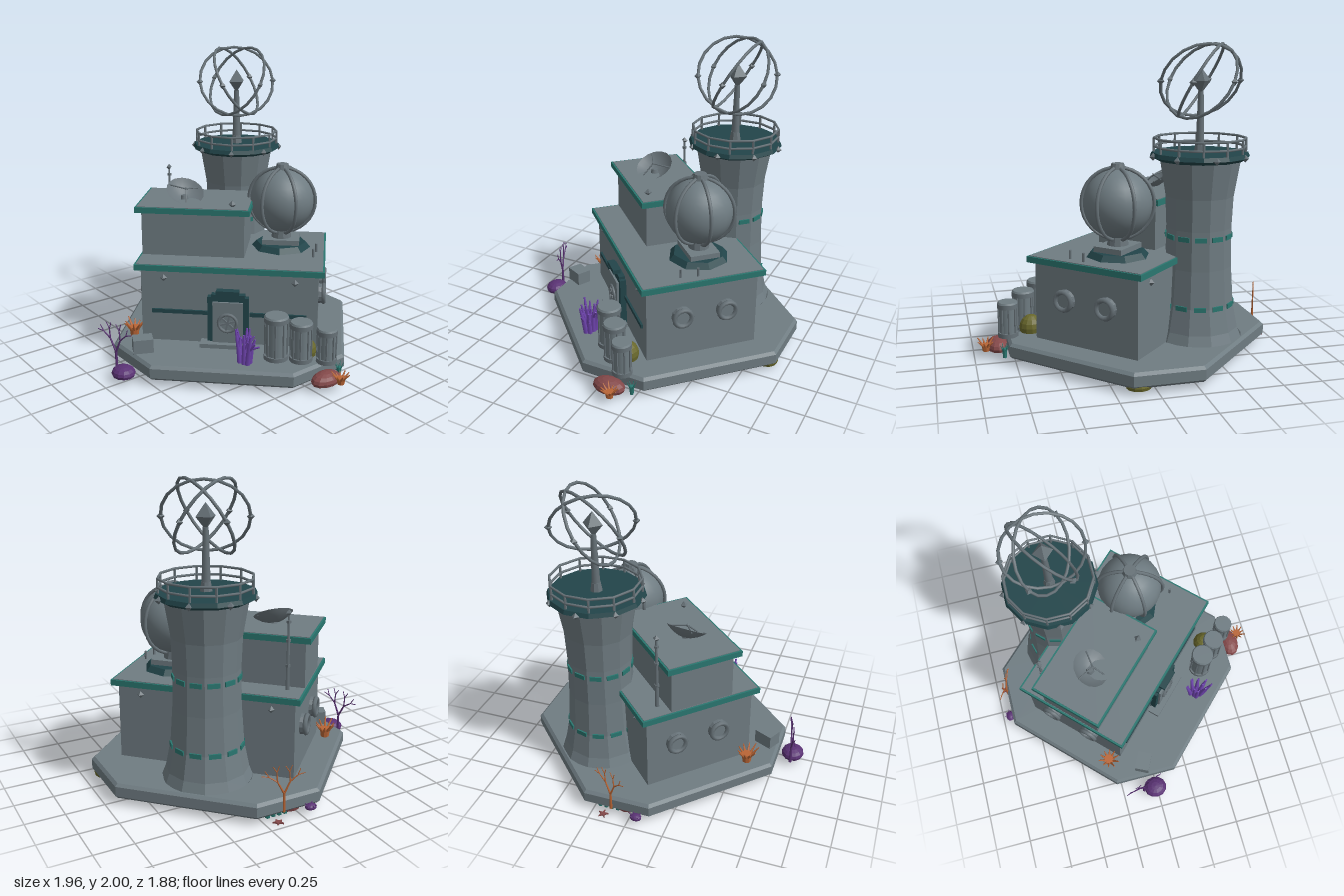
import * as THREE from 'three';

const paint = (name, color) => Object.assign(new THREE.MeshStandardMaterial({ color }), { name });
const V = (x, y, z) => new THREE.Vector3(x, y, z);

// faceted copy of a geometry
function flat(geo) {
  const g = geo.index ? geo.toNonIndexed() : geo;
  g.computeVertexNormals();
  return g;
}

// faceted ball with its underside pressed flat
function dome() {
  const g = new THREE.SphereGeometry(1, 12, 8), p = g.attributes.position;
  for (let i = 0; i < p.count; i++) p.setY(i, Math.max(p.getY(i), -0.4));
  return flat(g);
}

export function createModel() {
  const grey = paint('hull grey', 0x6f7c82);
  const steel = paint('steel grey', 0x677278);
  const teal = paint('teal trim', 0x2a7770);
  const deep = paint('deep teal', 0x22454a);
  const purple = paint('dark purple', 0x5a3274);
  const violet = paint('violet', 0x7045b0);
  const orange = paint('orange coral', 0xb96535);
  const red = paint('red coral', 0x84494a);
  const olive = paint('olive coral', 0x69682c);
  const shell = paint('dish grey', 0x6b767c);
  shell.side = THREE.DoubleSide;

  const model = new THREE.Group();
  const add = (parent, name, geo, mat, x = 0, y = 0, z = 0) => {
    const m = new THREE.Mesh(geo, mat);
    m.name = name;
    m.position.set(x, y, z);
    parent.add(m);
    return m;
  };
  const group = (parent, name, x = 0, y = 0, z = 0) => {
    const g = new THREE.Group();
    g.name = name;
    g.position.set(x, y, z);
    parent.add(g);
    return g;
  };
  const box = (w, h, d) => new THREE.BoxGeometry(w, h, d);
  const cyl = (r1, r2, h, n = 12) => flat(new THREE.CylinderGeometry(r1, r2, h, n));
  const stud = (r) => flat(new THREE.OctahedronGeometry(r));
  // tapered rod between two points
  const rod = (parent, name, a, b, ra, rb, mat, n = 6) => {
    const d = b.clone().sub(a);
    const m = add(parent, name, new THREE.CylinderGeometry(rb, ra, d.length(), n), mat);
    m.position.copy(a).addScaledVector(d, 0.5);
    m.quaternion.setFromUnitVectors(V(0, 1, 0), d.normalize());
    return m;
  };
  let seed = 7;
  const rnd = () => (seed = (seed * 16807) % 2147483647) / 2147483647;

  // ---- buildings, turned so the door faces a corner ----
  const station = group(model, 'station', -0.065, 0, -0.085);
  station.rotation.y = Math.PI / 4;

  // chamfered platform with the tower shaft opening
  const a = 0.76, c = 0.45;
  const plan = new THREE.Shape([[a, -c], [a, c], [c, a], [-c, a], [-a, c], [-a, -c], [-c, -a], [c, -a]]
    .map(([x, y]) => new THREE.Vector2(x, y)));
  plan.holes.push(new THREE.Path().absarc(-0.046, 0.456, 0.268, 0, Math.PI * 2, true));
  const slab = new THREE.ExtrudeGeometry(plan, {
    depth: 0.064, bevelThickness: 0.018, bevelSize: 0.018, bevelOffset: -0.018, bevelSegments: 1, curveSegments: 12 });
  slab.rotateX(-Math.PI / 2);
  add(station, 'platform', slab, grey, 0, 0.058, 0);

  // storeys: walls, teal roof edge, grey roof top
  const storey = (name, x, hw, hd, y0, y1) => {
    add(station, name + 'Walls', box(hw * 2 - 0.075, y1 - y0, hd * 2 - 0.08), grey, x, (y0 + y1) / 2, 0);
    add(station, name + 'RoofEdge', box(hw * 2, 0.038, hd * 2), teal, x, y1 + 0.016, 0);
    add(station, name + 'RoofTop', box(hw * 2 - 0.024, 0.006, hd * 2 - 0.024), grey, x, y1 + 0.036, 0);
  };
  storey('lower', 0, 0.618, 0.413, 0.13, 0.645);
  storey('upper', -0.26, 0.381, 0.253, 0.67, 0.985);

  // portholes on both end walls
  for (const [s, z] of [[-1, -0.175], [-1, 0.125], [1, -0.16], [1, 0.14]]) {
    const p = group(station, 'porthole', s * 0.577, 0.43, z);
    p.rotation.y = s * Math.PI / 2;
    const collar = add(p, 'portholeCollar', cyl(0.062, 0.07, 0.04, 12), steel, 0, 0, 0.015);
    collar.rotation.x = Math.PI / 2;
    add(p, 'portholeRing', new THREE.TorusGeometry(0.057, 0.016, 6, 16), steel, 0, 0, 0.038);
    add(p, 'portholePane', new THREE.CircleGeometry(0.05, 16), grey, 0, 0, 0.037);
  }

  // door
  const door = group(station, 'door', 0, 0, 0.375);
  add(door, 'doorFrame', box(0.27, 0.33, 0.05), deep, 0, 0.315, 0.015);
  add(door, 'doorFrameCap', box(0.22, 0.025, 0.05), deep, 0, 0.485, 0.015);
  add(door, 'doorLeaf', box(0.2, 0.29, 0.03), grey, 0, 0.305, 0.04);
  add(door, 'hatchRing', new THREE.TorusGeometry(0.06, 0.011, 6, 16), steel, 0, 0.31, 0.06);
  for (let i = 0; i < 3; i++) {
    const spoke = add(door, 'hatchSpoke', box(0.12, 0.012, 0.012), steel, 0, 0.31, 0.06);
    spoke.rotation.z = i * Math.PI / 3 + 0.3;
  }
  add(door, 'doorLamp', box(0.15, 0.028, 0.05), deep, 0, 0.52, 0.045);
  add(door, 'doorStep', box(0.36, 0.028, 0.085), grey, 0, 0.155, 0.05);
  add(door, 'doorFooting', box(0.05, 0.12, 0.04), deep, -0.02, 0.085, 0);
  for (const s of [-1, 1]) {
    add(station, 'wallStripe', box(0.37, 0.026, 0.02), deep, s * 0.325, 0.353, 0.377);
    for (const z of [-0.375, 0.375]) add(station, 'wallStud', stud(0.024), steel, s * 0.43, 0.585, z);
  }
  add(station, 'roofStud', stud(0.026), steel, 0, 1.04, 0.173);

  // roof pipes and aerial
  for (const [x, z] of [[0.345, -0.46], [0.41, -0.37]])
    add(model, 'roofPipe', cyl(0.009, 0.009, 0.06, 6), steel, x, 0.71, z);
  const aerial = group(model, 'aerial', -0.61, 0, 0.085);
  rod(aerial, 'aerialPole', V(0, 0.68, 0), V(0, 1.17, 0), 0.014, 0.007, steel);
  for (const y of [0.84, 1.0, 1.12]) add(aerial, 'aerialCollar', cyl(0.016, 0.016, 0.015, 6), steel, 0, y, 0);
  add(aerial, 'aerialTip', stud(0.022), steel, 0, 1.175, 0);

  // dish on the upper roof
  const dish = group(model, 'dish', -0.29, 1.08, 0.17);
  dish.quaternion.setFromUnitVectors(V(0, 1, 0), V(0.5, 0.86, 0.1).normalize());
  const bowl = [0, 0.04, 0.08, 0.11, 0.13].map((r) => new THREE.Vector2(r, -0.06 + 3.55 * r * r));
  add(dish, 'dishBowl', new THREE.LatheGeometry(bowl, 16), shell);
  for (let i = 0; i < 3; i++) {
    const t = i * Math.PI * 2 / 3 + 0.5;
    rod(dish, 'dishStrut', V(Math.cos(t) * 0.12, -0.012, Math.sin(t) * 0.12), V(0, 0.02, 0), 0.005, 0.005, steel, 5);
  }
  add(dish, 'dishFeed', stud(0.012), steel, 0, 0.02, 0);
  rod(model, 'dishStand', V(-0.3, 1.01, 0.17), V(-0.3, 1.05, 0.17), 0.035, 0.022, steel);

  // ---- observation tower ----
  const tower = group(model, 'tower', -0.42, 0, -0.375);
  const profile = [[0, 0.128], [0.29, 0.128], [0.262, 0.2], [0.23, 0.36], [0.214, 0.6], [0.21, 0.85], [0.219, 1.05], [0.258, 1.28], [0, 1.28]];
  add(tower, 'towerBody', flat(new THREE.LatheGeometry(profile.map(([x, y]) => new THREE.Vector2(x, y)), 12)), grey);
  for (const [y, r] of [[0.36, 0.23], [0.8, 0.211]]) for (let i = 0; i < 12; i++) {
    const t = (i + 0.5) * Math.PI / 6, d = r * Math.cos(Math.PI / 12);
    const dash = add(tower, 'towerSlot', box(0.075, 0.03, 0.018), teal, Math.sin(t) * d, y, Math.cos(t) * d);
    dash.rotation.y = t;
  }
  // deck and railing, with flat sides to the front
  const deck = group(tower, 'lookoutDeck');
  deck.rotation.y = Math.PI / 12;
  add(deck, 'deckUnderside', cyl(0.312, 0.275, 0.022), deep, 0, 1.287, 0);
  add(deck, 'deckPlate', cyl(0.303, 0.314, 0.026), deep, 0, 1.311, 0);
  for (const y of [1.36, 1.412]) {
    const rail = add(deck, 'handrail', new THREE.TorusGeometry(0.288, 0.008, 6, 12), steel, 0, y, 0);
    rail.rotation.x = Math.PI / 2;
  }
  for (let i = 0; i < 12; i++) {
    const t = i * Math.PI / 6;
    add(deck, 'railPost', cyl(0.008, 0.008, 0.1, 6), steel, Math.sin(t) * 0.288, 1.363, Math.cos(t) * 0.288);
  }
  for (let i = 0; i < 8; i++) {
    const t = i * Math.PI / 4;
    add(tower, 'deckStud', stud(0.024), steel, Math.sin(t) * 0.305, 1.302, Math.cos(t) * 0.305);
  }
  // mast with crossed rings
  add(tower, 'mastFoot', cyl(0.03, 0.04, 0.06, 8), steel, 0, 1.35, 0);
  rod(tower, 'mast', V(0, 1.32, 0), V(0, 1.7, 0), 0.03, 0.018, steel, 8);
  const gem = add(tower, 'mastGem', stud(0.065), steel, 0, 1.765, 0);
  gem.scale.y = 1.25;
  for (let i = 0; i < 3; i++) {
    const orbit = group(tower, 'orbit', 0, 1.765, 0);
    orbit.rotation.y = i * Math.PI / 3;
    const ring = add(orbit, 'orbitRing', new THREE.TorusGeometry(0.26, 0.01, 6, 20), steel);
    ring.rotation.x = -Math.PI / 6;
    for (const s of [-1, 1]) add(orbit, 'orbitStud', stud(0.024), steel, s * 0.26, 0, 0);
  }

  // ---- ribbed globe on its pedestal ----
  const globe = group(model, 'globe', 0.105, 0, -0.355);
  add(globe, 'globeBase', cyl(0.17, 0.205, 0.04, 8), deep, 0, 0.7, 0);
  const plinth = add(globe, 'globePlinth', box(0.25, 0.035, 0.2), grey, 0, 0.737, 0);
  plinth.rotation.y = Math.PI / 4;
  add(globe, 'globeNeck', cyl(0.06, 0.07, 0.07), steel, 0, 0.785, 0);
  add(globe, 'globeBall', new THREE.SphereGeometry(0.217, 24, 16), grey, 0, 1.015, 0);
  for (let i = 0; i < 3; i++) {
    const rib = add(globe, 'globeRib', new THREE.TorusGeometry(0.227, 0.012, 6, 32), steel, 0, 1.015, 0);
    rib.rotation.y = i * Math.PI / 3 - 0.3;
  }
  add(globe, 'globeCap', cyl(0.04, 0.05, 0.035), steel, 0, 1.25, 0);

  // ---- barrels and crate ----
  for (const [x, z, r, h] of [[0.55, 0.07, 0.08, 0.29], [0.668, -0.035, 0.074, 0.26], [0.782, -0.15, 0.066, 0.225]]) {
    const barrel = group(model, 'barrel', x, 0.138, z);
    add(barrel, 'barrelBody', new THREE.CylinderGeometry(r * 0.85, r * 0.85, h, 16), grey, 0, h / 2, 0);
    for (const y of [0.015, h - 0.02]) add(barrel, 'barrelHoop', new THREE.CylinderGeometry(r, r, 0.03, 16), steel, 0, y, 0);
    add(barrel, 'barrelLid', new THREE.CylinderGeometry(r * 0.9, r, 0.012, 16), grey, 0, h, 0);
    for (let i = 0; i < 8; i++) {
      const t = i * Math.PI / 4;
      add(barrel, 'barrelStave', cyl(0.007, 0.007, h - 0.04, 6), steel, Math.sin(t) * r * 0.88, h / 2, Math.cos(t) * r * 0.88);
    }
  }
  const crate = add(model, 'crate', box(0.1, 0.095, 0.13), grey, -0.062, 0.185, 0.683);
  crate.rotation.y = -0.45;

  // ---- sea life ----
  const mound = (name, mat, x, y, z, rx, ry, rz) => add(model, name, dome(), mat, x, y, z).scale.set(rx, ry, rz);
  mound('purpleMound', purple, -0.015, 0.058, 0.86, 0.082, 0.046, 0.075);
  mound('redMound', red, 0.845, 0.06, -0.09, 0.072, 0.052, 0.11);
  mound('leftRedMound', red, -0.83, 0.045, -0.04, 0.08, 0.05, 0.085);
  mound('oliveMound', olive, 0.63, 0.175, -0.11, 0.075, 0.08, 0.07);
  mound('backOliveMound', olive, 0.105, 0.042, -0.87, 0.08, 0.05, 0.07);
  mound('backPurpleMound', purple, 0.03, 0.045, -0.84, 0.05, 0.05, 0.05);
  mound('smallPurpleMound', purple, -0.945, 0.05, 0.055, 0.03, 0.022, 0.038);

  // flat fan tree: forks within the plane given by a side direction
  const fan = (g, mat, p, ang, side, len, r, depth) => {
    const q = p.clone().addScaledVector(side, Math.sin(ang) * len).add(V(0, Math.cos(ang) * len, 0));
    rod(g, 'coralTwig', p, q, r, r * 0.7, mat, 5);
    if (depth > 0) for (const s of [-0.5, 0.42]) fan(g, mat, q, ang + s, side, len * 0.72, r * 0.7, depth - 1);
  };
  fan(group(model, 'purpleFan', -0.1, 0.04, 0.86), purple, V(0, 0, 0), 0, V(0.95, 0, -0.3), 0.13, 0.011, 3);
  fan(group(model, 'orangeFan', -0.92, 0.05, -0.12), orange, V(0, 0, 0), 0, V(-0.4, 0, 0.9), 0.12, 0.01, 3);

  // violet bush of thick forked stems
  const bush = group(model, 'violetBush', 0.47, 0.135, 0.265);
  for (let i = 0; i < 9; i++) {
    const t = i * 2.4, k = 0.35 + 0.65 * rnd();
    const foot = V(Math.cos(t) * 0.025, -0.1, Math.sin(t) * 0.02);
    const knee = V(Math.cos(t) * 0.07 * k, 0.08 + 0.04 * rnd(), Math.sin(t) * 0.045 * k);
    const tip = V(Math.cos(t) * 0.1 * k, 0.17 + 0.07 * rnd(), Math.sin(t) * 0.07 * k);
    rod(bush, 'bushStem', foot, knee, 0.02, 0.015, violet);
    rod(bush, 'bushTip', knee, tip, 0.015, 0.006, violet);
    rod(bush, 'bushFork', knee, V(tip.x + 0.02, tip.y - 0.05, tip.z - 0.02), 0.011, 0.005, violet);
  }

  // anemones and tufts: a ring of tapered arms around a small body
  const tuft = (name, mat, x, y, z, r, h, n) => {
    const g = group(model, name, x, y, z);
    add(g, name + 'Body', cyl(r * 0.45, r * 0.35, h * 0.55, 8), mat, 0, h * 0.275, 0);
    for (let i = 0; i < n; i++) {
      const t = i * Math.PI * 2 / n, k = 0.7 + 0.3 * rnd();
      rod(g, name + 'Arm', V(Math.cos(t) * r * 0.3, h * 0.4, Math.sin(t) * r * 0.3),
        V(Math.cos(t) * r * k, h * k, Math.sin(t) * r * k), r * 0.13, r * 0.04, mat, 5);
    }
  };
  tuft('orangeAnemone', orange, -0.3, 0.138, 0.6, 0.08, 0.115, 10);
  tuft('orangeUrchin', orange, 0.925, 0.045, -0.14, 0.065, 0.08, 10);
  tuft('purpleUrchin', purple, -0.945, 0.04, 0.055, 0.045, 0.035, 8);
  tuft('tealTuft', teal, 0.815, 0.025, -0.235, 0.035, 0.11, 6);

  // teal tube cluster at the left edge
  for (let i = 0; i < 4; i++)
    rod(model, 'tealTube', V(-0.88, 0.02, -0.21 + i * 0.04), V(-0.895, 0.1, -0.215 + i * 0.042), 0.017, 0.012, teal);

  // starfish beside the platform
  const points = [...Array(10).keys()].map((i) => {
    const r = i % 2 ? 0.014 : 0.035, t = i * Math.PI / 5;
    return new THREE.Vector2(Math.cos(t) * r, Math.sin(t) * r);
  });
  const star = add(model, 'starfish', new THREE.ExtrudeGeometry(new THREE.Shape(points), { depth: 0.01, bevelEnabled: false }), red, -0.94, 0, -0.17);
  star.rotation.x = -Math.PI / 2;
  return model;
}
